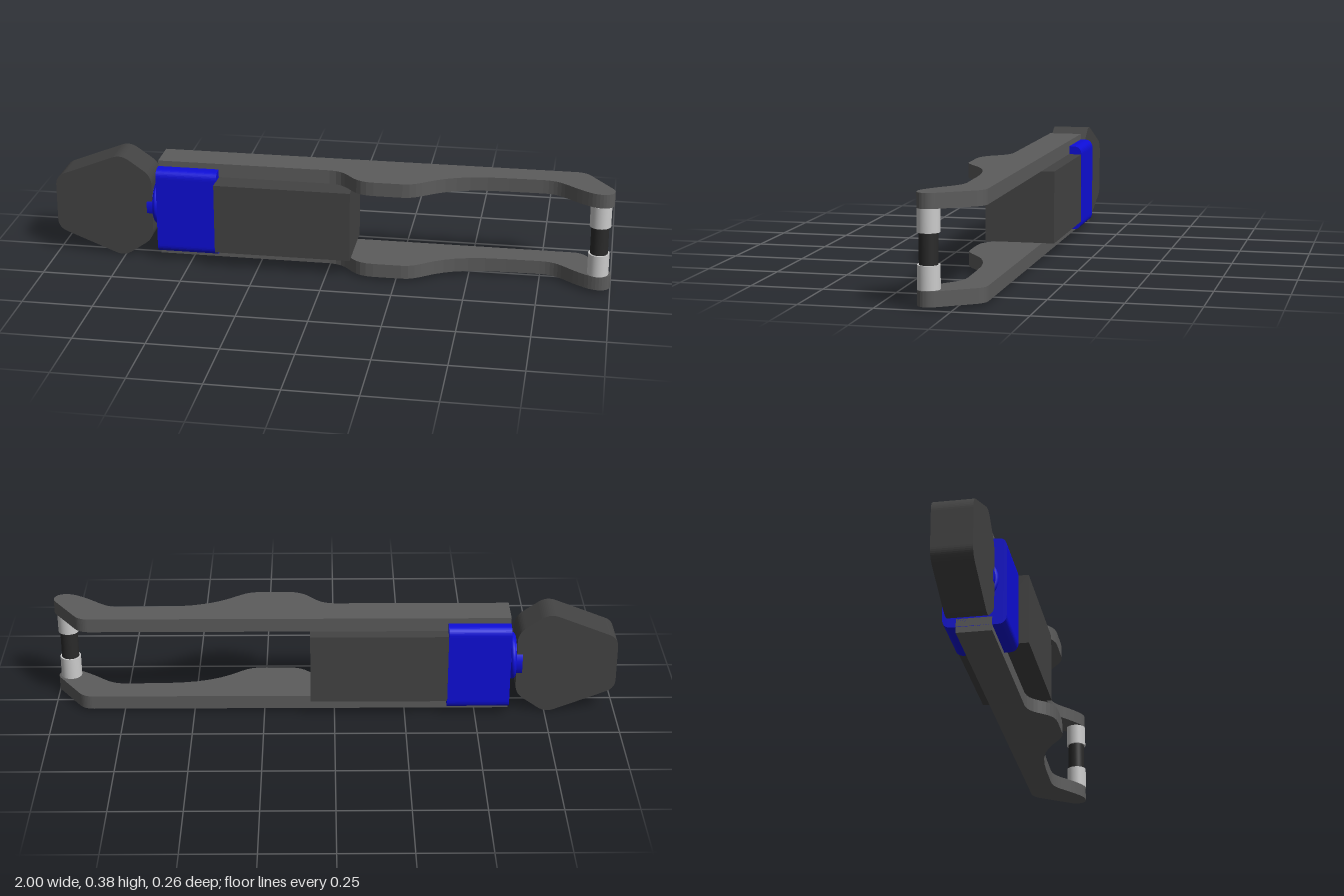
import * as THREE from 'three';

const CY = 0.19; // height of the long axis

const mat = (color) => new THREE.MeshStandardMaterial({ color });
const dark = mat(0x434343), plateGrey = mat(0x5c5c5c), blue = mat(0x0e0ed8);
const light = mat(0xcccccc), black = mat(0x2a2a2a);

// Polygon with each corner rounded by the given distance
function roundedPolygon(points, r) {
  const v = points.map(([x, y]) => new THREE.Vector2(x, y));
  const shape = new THREE.Shape();
  v.forEach((p, i) => {
    const prev = v[(i + v.length - 1) % v.length], next = v[(i + 1) % v.length];
    const a = p.clone().add(prev.clone().sub(p).setLength(r));
    const b = p.clone().add(next.clone().sub(p).setLength(r));
    if (i === 0) shape.moveTo(a.x, a.y);
    else shape.lineTo(a.x, a.y);
    shape.quadraticCurveTo(p.x, p.y, b.x, b.y);
  });
  shape.closePath();
  return shape;
}

const extrude = (shape, depth) =>
  new THREE.ExtrudeGeometry(shape, { depth, bevelEnabled: false, curveSegments: 10 });

// Side plate outline, drawn in x and -z
function plateShape() {
  const s = new THREE.Shape();
  s.moveTo(-0.62, -0.035);
  s.lineTo(0, -0.035);
  s.bezierCurveTo(0.09, -0.04, 0.07, -0.128, 0.17, -0.128);
  s.lineTo(0.27, -0.128);
  s.bezierCurveTo(0.36, -0.128, 0.36, -0.012, 0.63, -0.012);
  s.lineTo(0.75, -0.01);
  s.bezierCurveTo(0.82, -0.01, 0.83, -0.05, 0.91, -0.1);
  s.bezierCurveTo(0.955, -0.13, 1.0, -0.118, 1.0, -0.08);
  s.quadraticCurveTo(1.0, -0.065, 0.988, -0.05);
  s.lineTo(0.915, 0.056);
  s.quadraticCurveTo(0.895, 0.086, 0.86, 0.086);
  s.lineTo(-0.62, 0.086);
  s.closePath();
  return s;
}

export function createModel() {
  const model = new THREE.Group();
  const add = (name, geometry, material, x = 0, y = 0, z = 0) => {
    const mesh = new THREE.Mesh(geometry, material);
    mesh.name = name;
    mesh.position.set(x, y, z);
    model.add(mesh);
    return mesh;
  };

  // Upper and lower side plates
  const plate = extrude(plateShape(), 0.05).rotateX(-Math.PI / 2);
  add('lowerPlate', plate, plateGrey, 0, 0.011);
  add('upperPlate', plate, plateGrey, 0, 0.319);

  // Central block between the plates
  add('body', new THREE.BoxGeometry(0.487, 0.256, 0.25), dark, -0.1585, CY, -0.006);

  // Blue clip around the tail of the plates, rounded along its length
  const clip = roundedPolygon(
    [[-0.083, -0.158], [0.132, -0.158], [0.132, 0.158], [-0.083, 0.158]], 0.032);
  add('clip', extrude(clip, 0.22).rotateY(-Math.PI / 2), blue, -0.4, CY)
    .geometry.scale(1, 1, -1);
  // Restore the winding after mirroring front to back
  flip(model.getObjectByName('clip').geometry);

  // Ribbed hub joining clip and head
  add('hub', new THREE.CylinderGeometry(0.075, 0.075, 0.06, 32).rotateZ(Math.PI / 2),
    blue, -0.635, CY, -0.025);
  add('hubRing', new THREE.TorusGeometry(0.074, 0.01, 10, 32).rotateY(Math.PI / 2),
    blue, -0.634, CY, -0.025);

  // Six-sided head
  const head = roundedPolygon([
    [-1, -0.1], [-0.755, -0.197], [-0.645, -0.12],
    [-0.645, 0.12], [-0.755, 0.197], [-1, 0.1],
  ], 0.035);
  add('head', extrude(head, 0.136), dark, 0, CY, -0.09);

  // Cross pin at the far end with two light collars
  add('pinCore', new THREE.CylinderGeometry(0.031, 0.031, 0.26, 32), black, 0.955, CY, 0.082);
  for (const [name, side] of [['lowerCollar', -1], ['upperCollar', 1]]) {
    add(name, new THREE.CylinderGeometry(0.037, 0.037, 0.078, 32), light,
      0.955, CY + side * 0.09, 0.082);
  }
  return model;
}

// Reverse each triangle of a non-indexed geometry and recompute its normals
function flip(geometry) {
  const p = geometry.attributes.position;
  const a = new THREE.Vector3(), b = new THREE.Vector3();
  for (let i = 0; i < p.count; i += 3) {
    a.fromBufferAttribute(p, i + 1);
    b.fromBufferAttribute(p, i + 2);
    p.setXYZ(i + 1, b.x, b.y, b.z);
    p.setXYZ(i + 2, a.x, a.y, a.z);
  }
  geometry.computeVertexNormals();
}
